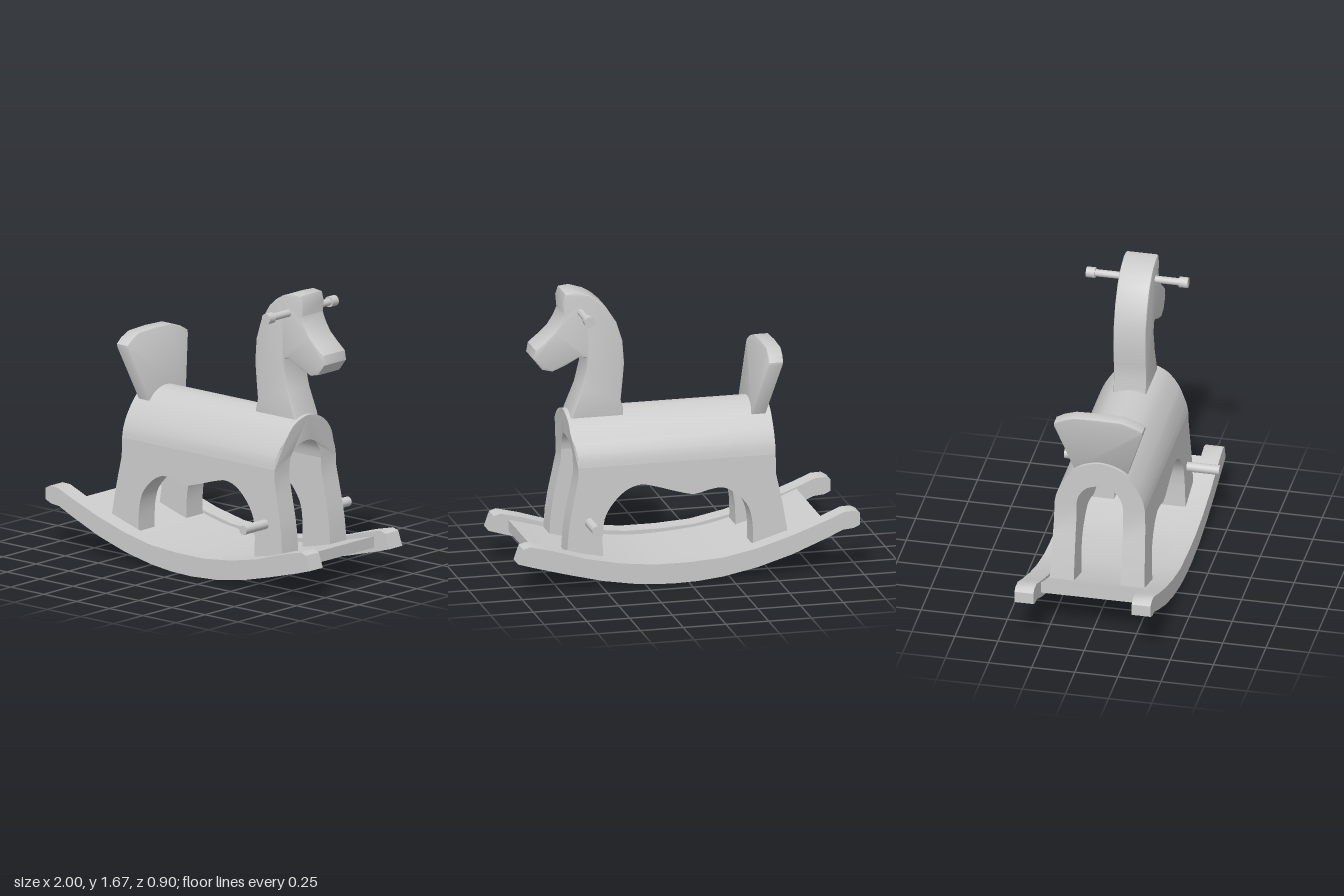
import * as THREE from 'three';
import { toCreasedNormals } from 'three/addons/utils/BufferGeometryUtils.js';

const material = new THREE.MeshStandardMaterial({ color: 0xcccccc });
const MID = -0.01; // z of the centre plane

const pts = (list) => list.map(([x, y]) => new THREE.Vector2(x, y));
const spline = (list, n) => new THREE.SplineCurve(pts(list)).getPoints(n);
const mirrorHalf = (half) => [...half, ...half.slice(0, -1).reverse().map(([x, y]) => [-x, y])];

// Extrude an outline along z from 0 to depth, edges rounded by bevel
function extrude(outline, depth, bevel = 0) {
  return new THREE.ExtrudeGeometry(new THREE.Shape(outline), {
    depth: depth - 2 * bevel, bevelEnabled: bevel > 0, bevelThickness: bevel,
    bevelSize: bevel, bevelOffset: -bevel, bevelSegments: 2,
  }).translate(0, 0, bevel);
}

// Move every vertex by a rule (v is changed in place)
function reshape(geometry, rule) {
  const p = geometry.attributes.position, v = new THREE.Vector3();
  for (let i = 0; i < p.count; i++) {
    rule(v.fromBufferAttribute(p, i));
    p.setXYZ(i, v.x, v.y, v.z);
  }
  return geometry;
}

export function createModel() {
  const model = new THREE.Group();
  const add = (name, geometry, crease = 0.6) => {
    const mesh = new THREE.Mesh(toCreasedNormals(geometry, crease), material);
    mesh.name = name;
    model.add(mesh);
    return mesh;
  };

  // Rockers
  const railTop = [[-1, 0.335], [-0.97, 0.352], [-0.91, 0.35], [-0.8, 0.305], [-0.6, 0.232], [-0.4, 0.172],
    [-0.2, 0.132], [0, 0.12], [0.2, 0.12], [0.4, 0.142], [0.6, 0.183], [0.8, 0.245], [0.93, 0.277], [0.97, 0.265]];
  const railBottom = [[1, 0.18], [0.9, 0.15], [0.7, 0.095], [0.5, 0.045], [0.3, 0.012], [0.1, 0], [-0.05, 0.004],
    [-0.2, 0.02], [-0.4, 0.06], [-0.6, 0.12], [-0.8, 0.2], [-0.9, 0.245], [-0.96, 0.25], [-1, 0.268]];
  for (const [name, z] of [['leftRocker', 0.275], ['rightRocker', -0.405]]) {
    add(name, extrude(pts([...railTop, ...railBottom]), 0.11).translate(0, 0, z));
  }

  // Curved floor board between the rockers
  const floorLine = spline([[-0.8, 0.23], [-0.6, 0.15], [-0.4, 0.09], [-0.2, 0.05], [0.1, 0.03],
    [0.3, 0.042], [0.5, 0.075], [0.7, 0.123], [0.885, 0.172]], 24);
  const floorTop = floorLine.map((p) => new THREE.Vector2(p.x, p.y + 0.066)).reverse();
  add('floorBoard', extrude([...floorLine, ...floorTop], 0.57).translate(0, 0, MID - 0.285));

  // Arched back of the body, extruded lengthwise
  const outer = spline(mirrorHalf([[0.262, 0.68], [0.25, 0.74], [0.215, 0.815], [0.145, 0.905], [0.075, 0.945], [0, 0.96]]), 32);
  const inner = spline(mirrorHalf([[0.136, 0.68], [0.122, 0.735], [0.085, 0.785], [0.04, 0.805], [0, 0.811]]), 24);
  const arch = extrude([...outer, ...inner.reverse()], 1).rotateY(Math.PI / 2);
  reshape(arch, (v) => {
    const front = 0.615 + 0.025 * THREE.MathUtils.smoothstep(v.y, 0.76, 0.86);
    v.x = THREE.MathUtils.lerp(-0.54, front, v.x);
    v.z += MID;
  });
  add('bodyArch', arch);

  // Side panels: flank and two legs with a wavy belly cut-out
  const belly = spline([[-0.405, 0.2], [-0.4, 0.3], [-0.375, 0.39], [-0.31, 0.465], [-0.23, 0.508], [-0.145, 0.5],
    [-0.06, 0.482], [0.04, 0.505], [0.17, 0.545], [0.25, 0.56], [0.33, 0.535], [0.405, 0.47], [0.46, 0.38],
    [0.475, 0.27]], 42);
  const panel = [
    ...pts([[-0.54, 0.68], [-0.54, 0.57], [-0.56, 0.48], [-0.58, 0.38], [-0.61, 0.2], [-0.405, 0.14]]),
    ...belly,
    ...pts([[0.475, 0.12], [0.685, 0.16], [0.675, 0.3], [0.66, 0.4], [0.635, 0.52], [0.615, 0.62], [0.615, 0.68]]),
  ];
  for (const [name, side] of [['leftSidePanel', 1], ['rightSidePanel', -1]]) {
    add(name, reshape(extrude(panel, 1), (v) => {
      const out = side > 0 ? v.z : 1 - v.z;
      const face = 0.262 + (0.68 - v.y) * 0.027; // legs splay slightly
      v.z = MID + side * THREE.MathUtils.lerp(0.136, face, out);
    }));
  }

  // Neck and head cut from one thick board
  const head = pts([[0.31, 0.9], [0.31, 0.955], [0.325, 1.02], [0.315, 1.12], [0.305, 1.235], [0.315, 1.37],
    [0.35, 1.48], [0.415, 1.58], [0.46, 1.62], [0.51, 1.65], [0.59, 1.675], [0.65, 1.668], [0.665, 1.62],
    [0.658, 1.55], [0.68, 1.5], [0.715, 1.445], [0.77, 1.395], [0.825, 1.35], [0.835, 1.295], [0.785, 1.23],
    [0.725, 1.215], [0.65, 1.245], [0.565, 1.29], [0.53, 1.285], [0.525, 1.225], [0.555, 1.1], [0.615, 0.955],
    [0.625, 0.9]]);
  add('neckAndHead', extrude(head, 0.19, 0.01).translate(0, 0, MID - 0.107));

  // Fan-shaped backrest leaning backwards
  const fan = mirrorHalf([[0.155, 0.89], [0.257, 1.2], [0.257, 1.22], [0.21, 1.25], [0.14, 1.275], [0, 1.28]]);
  const backrest = extrude(pts(fan), 0.085, 0.006).rotateY(Math.PI / 2);
  add('backrest', reshape(backrest, (v) => {
    v.x += -0.508 - (v.y - 0.89) * 0.24;
    v.z += MID;
  }));

  // Pegs: knobbed handles at the head, plain footrests at the front legs
  const peg = (name, radius, x, y, z0, z1) => {
    const geometry = new THREE.CylinderGeometry(radius, radius, Math.abs(z1 - z0), 20).rotateX(Math.PI / 2);
    add(name, geometry.toNonIndexed().translate(x, y, (z0 + z1) / 2));
  };
  for (const [name, side] of [['left', 1], ['right', -1]]) {
    const tip = -0.03 + side * 0.295;
    peg(name + 'Handle', 0.021, 0.56, 1.557, -0.02, tip - side * 0.04);
    peg(name + 'HandleKnob', 0.031, 0.56, 1.557, tip - side * 0.052, tip);
    peg(name + 'Footrest', 0.028, 0.55, 0.357, side * 0.2, side * 0.45);
  }
  return model;
}
